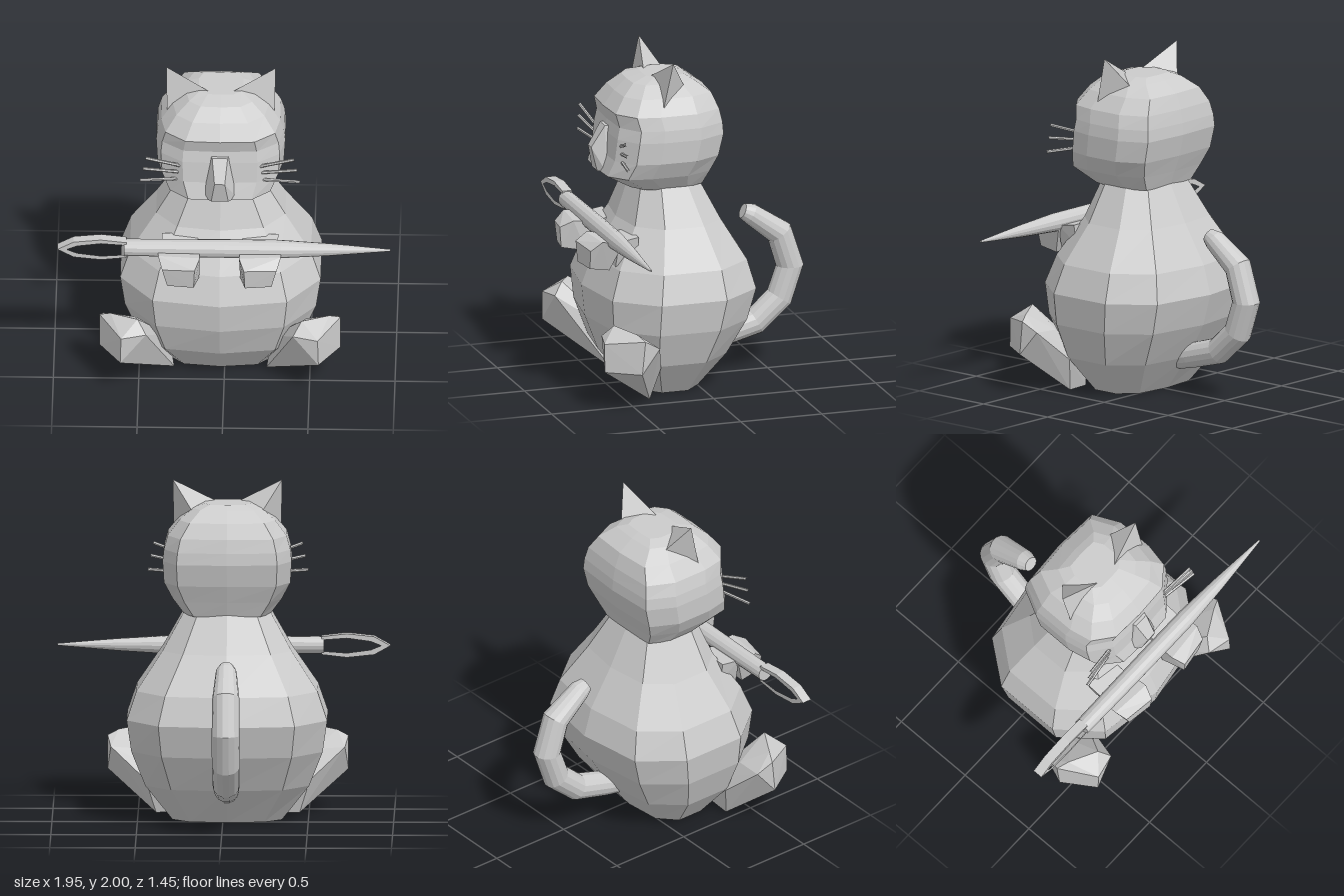
import * as THREE from 'three';
import { ConvexGeometry } from 'three/addons/geometries/ConvexGeometry.js';

const material = new THREE.MeshStandardMaterial({ color: 0xcccccc, flatShading: true });
const V = (x, y, z) => new THREE.Vector3(x, y, z);

function add(parent, name, geometry) {
  const mesh = new THREE.Mesh(geometry, material);
  mesh.name = name;
  parent.add(mesh);
  return mesh;
}

// Skin a list of equal-length point rings (counterclockwise around the path) and cap both ends
function loft(rings) {
  const n = rings[0].length, index = [];
  const points = rings.flat();
  for (let r = 0; r < rings.length - 1; r++) {
    for (let i = 0; i < n; i++) {
      const a = r * n + i, b = r * n + (i + 1) % n;
      index.push(a, b, b + n, a, b + n, a + n);
    }
  }
  const top = (rings.length - 1) * n;
  for (let i = 1; i < n - 1; i++) {
    index.push(0, i + 1, i, top, top + i, top + i + 1);
  }
  const g = new THREE.BufferGeometry().setFromPoints(points);
  g.setIndex(index);
  const flat = g.toNonIndexed();
  flat.computeVertexNormals();
  return flat;
}

// Half outline from front centre to back centre, mirrored and scaled at each level [y, halfWidth, zFront, zBack]
function stack(half, levels) {
  const mirrored = half.slice(1, -1).reverse().map(([x, z]) => [-x, z]);
  const outline = [...half, ...mirrored];
  return loft(levels.map(([y, w, f, b]) =>
    outline.map(([x, z]) => V(x * w, y, (f + b) / 2 + z * (f - b) / 2))));
}

const hull = (pts, s = 1) => new ConvexGeometry(pts.map(([x, y, z]) => V(x * s, y, z)));

// Tube with one straight piece between neighbouring path points, lying in the x = 0 plane
function tail(path) {
  return loft(path.map(([z, y, r], i) => {
    const p = path[Math.max(i - 1, 0)], q = path[Math.min(i + 1, path.length - 1)];
    const u = V(1, 0, 0);
    const v = V(0, q[1] - p[1], q[0] - p[0]).normalize().cross(u);
    return Array.from({ length: 14 }, (_, k) => {
      const a = k / 14 * Math.PI * 2;
      return V(0, y, z).addScaledVector(u, r * Math.cos(a)).addScaledVector(v, r * Math.sin(a));
    });
  }));
}

export function createModel() {
  const model = new THREE.Group();
  model.name = 'sittingCat';
  const cat = new THREE.Group();
  cat.name = 'cat';
  cat.position.x = -0.025;
  model.add(cat);

  // Pear-shaped body
  add(cat, 'body', stack(
    [[0, 1], [0.67, 0.88], [1, 0.4], [1, -0.4], [0.68, -0.88], [0, -1]],
    [[0, 0.32, 0.37, -0.03], [0.21, 0.48, 0.54, -0.19], [0.42, 0.56, 0.62, -0.31],
      [0.61, 0.587, 0.64, -0.365], [0.78, 0.53, 0.575, -0.315], [1.01, 0.378, 0.43, -0.17],
      [1.23, 0.255, 0.355, -0.055]]));

  // Head, barely hollowed below the brow
  add(cat, 'head', stack(
    [[0, 1], [0.58, 0.97], [0.92, 0.68], [1, 0.25], [1, -0.45], [0.78, -0.95], [0, -1]],
    [[1.22, 0.25, 0.39, -0.05], [1.31, 0.32, 0.55, -0.085], [1.41, 0.37, 0.515, -0.125],
      [1.54, 0.378, 0.5, -0.155], [1.61, 0.37, 0.485, -0.15], [1.69, 0.348, 0.505, -0.135],
      [1.78, 0.28, 0.44, -0.1], [1.845, 0.2, 0.365, -0.01], [1.87, 0.13, 0.27, 0.04]]));

  // Nose bridge and tip
  add(cat, 'nose', hull([-1, 1].flatMap(s => [
    [s * 0.045, 1.58, 0.51], [s * 0.03, 1.45, 0.59], [s * 0.05, 1.31, 0.56],
    [s * 0.1, 1.31, 0.52], [s * 0.06, 1.58, 0.45]])));

  for (const [side, s] of [['left', 1], ['right', -1]]) {
    // Pointed ears
    add(cat, side + 'Ear', hull([
      [0.32, 2, 0.18], [0.065, 1.865, 0.235], [0.2, 1.82, 0.07], [0.315, 1.72, 0.24]], s));

    // Front legs, bent forward
    add(cat, side + 'Forearm', hull([
      [0.34, 0.95, 0.52], [0.13, 0.95, 0.52], [0.3, 0.79, 0.53], [0.13, 0.79, 0.53],
      [0.34, 0.97, 0.4], [0.13, 0.97, 0.4], [0.32, 0.85, 0.4], [0.13, 0.85, 0.4]], s));
    add(cat, side + 'FrontPaw', hull([
      [0.36, 0.965, 0.63], [0.115, 0.965, 0.65], [0.335, 0.91, 0.695], [0.145, 0.925, 0.725],
      [0.305, 0.795, 0.69], [0.15, 0.8, 0.715], [0.305, 0.775, 0.57], [0.12, 0.775, 0.57],
      [0.36, 0.95, 0.5], [0.12, 0.95, 0.5]], s));

    // Hind feet, splayed out and up from the heel
    add(cat, side + 'HindFoot', hull([
      [0.48, 0.49, 0.6], [0.64, 0.47, 0.51], [0.685, 0.385, 0.385], [0.705, 0.44, 0.48],
      [0.705, 0.24, 0.5], [0.575, 0.41, 0.69], [0.43, 0.42, 0.66], [0.58, 0.24, 0.69],
      [0.27, 0, 0.37], [0.42, 0, 0.36], [0.5, 0.37, 0.4], [0.48, 0.2, 0.31], [0.3, 0.2, 0.33]], s));

    // Three whiskers on each cheek
    [[1.495, 1.575], [1.455, 1.5], [1.407, 1.417]].forEach(([y0, y1], i) => {
      const path = new THREE.LineCurve3(
        V(s * (0.21 + i * 0.02), y0, 0.47), V(s * (0.437 + i * 0.016), y1, 0.505));
      add(cat, side + 'Whisker' + (i + 1), new THREE.TubeGeometry(path, 1, 0.01, 6));
    });
  }

  // Curling tail
  add(cat, 'tail', tail([
    [-0.12, 0.2, 0.07], [-0.22, 0.225, 0.075], [-0.43, 0.285, 0.08], [-0.58, 0.42, 0.082],
    [-0.645, 0.61, 0.082], [-0.58, 0.815, 0.08], [-0.4, 0.945, 0.062], [-0.355, 0.965, 0.045]]));

  // Sewing needle held across the chest
  const needle = new THREE.Group();
  needle.name = 'needle';
  needle.position.set(0, 0.965, 0.545);
  model.add(needle);
  const profile = [[0, -0.585], [0.05, -0.585], [0.055, 0], [0.054, 0.33], [0.036, 0.62], [0.006, 0.975], [0, 0.975]]
    .map(([r, x]) => new THREE.Vector2(r, x));
  add(needle, 'needleShaft', new THREE.LatheGeometry(profile, 14)).rotation.z = -Math.PI / 2;

  // Needle eye: a flat pointed loop
  const mirrorLoop = pts => [...pts, ...pts.slice(1).reverse().map(([x, y]) => [x, -y])]
    .map(([x, y]) => new THREE.Vector2(x, y));
  const loop = new THREE.Shape(mirrorLoop(
    [[-0.975, 0], [-0.88, 0.053], [-0.72, 0.07], [-0.57, 0.053]]));
  loop.holes.push(new THREE.Path(mirrorLoop(
    [[-0.92, 0], [-0.86, 0.025], [-0.72, 0.044], [-0.585, 0.034]])));
  const eye = new THREE.ExtrudeGeometry(loop, { depth: 0.06, bevelEnabled: false });
  eye.translate(0, 0, -0.03);
  add(needle, 'needleEye', eye);

  return model;
}
